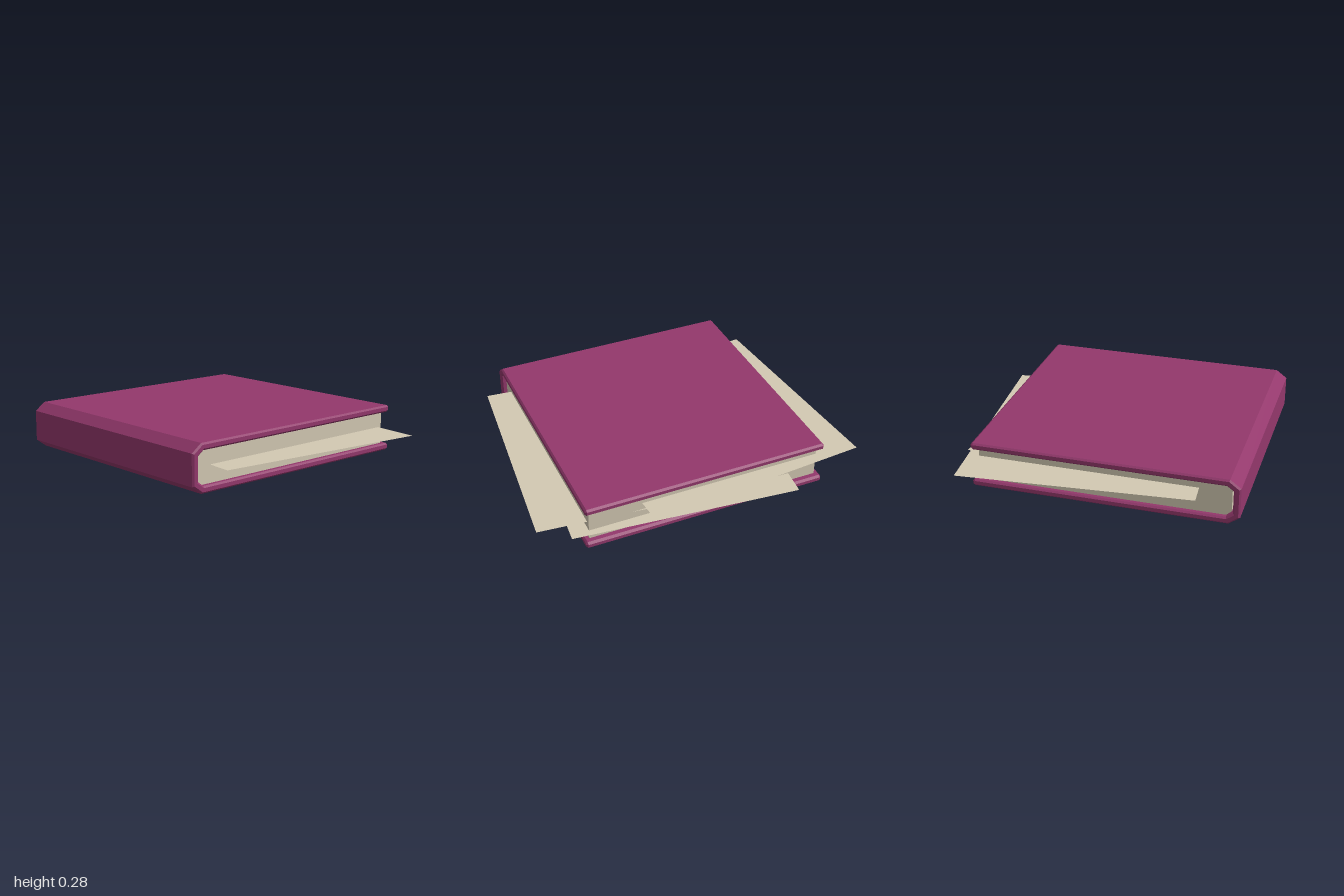
import * as THREE from 'three';

// Extrudes a (z, y) side profile along x between two x limits
function extrudeAlongX(profile, xMin, xMax, bevel = 0) {
  const shape = new THREE.Shape(profile.map(([z, y]) => new THREE.Vector2(z, y)));
  const depth = xMax - xMin - 2 * bevel;
  const geometry = new THREE.ExtrudeGeometry(shape, {
    depth,
    bevelEnabled: bevel > 0,
    bevelThickness: bevel,
    bevelSize: bevel,
    bevelOffset: -bevel,
    bevelSegments: 1,
  });
  geometry.translate(0, 0, -depth / 2);
  geometry.rotateY(-Math.PI / 2);
  geometry.translate((xMin + xMax) / 2, 0, 0);
  return geometry;
}

export function createModel() {
  const group = new THREE.Group();
  group.name = 'book';

  const coverMaterial = new THREE.MeshStandardMaterial({ color: 0x93386c });
  coverMaterial.name = 'plum cover';
  const paperMaterial = new THREE.MeshStandardMaterial({ color: 0xd3c9b3 });
  paperMaterial.name = 'aged paper';
  paperMaterial.side = THREE.DoubleSide;

  const add = (geometry, material, name) => {
    const mesh = new THREE.Mesh(geometry, material);
    mesh.name = name;
    group.add(mesh);
    return mesh;
  };

  // Both boards and the chamfered spine as one bevelled U profile,
  // given as its upper half and mirrored about the mid height
  const midY = 0.14;
  const upper = [
    [0.855, 0.232], [0.79, 0.28], [-0.722, 0.28], [-0.735, 0.27],
    [-0.735, 0.25], [-0.722, 0.238], [0.775, 0.238], [0.813, 0.21],
  ];
  const lower = upper.map(([z, y]) => [z, 2 * midY - y]).reverse();
  add(extrudeAlongX([...upper, ...lower], -0.775, 0.735, 0.01), coverMaterial, 'cover');

  // Page block, inset from the boards on the three open sides
  const pages = [
    [-0.695, 0.04], [0.77, 0.04], [0.803, 0.07],
    [0.803, 0.21], [0.77, 0.24], [-0.695, 0.24],
  ];
  add(extrudeAlongX(pages, -0.745, 0.705), paperMaterial, 'pageBlock');

  // Loose square sheets sticking out: x, y, z, turn in degrees
  const sheets = [
    [0.067, 0.1, -0.108, -5.6],
    [0.245, 0.145, -0.025, -5.6],
    [-0.26, 0.19, -0.115, 4.8],
  ];
  sheets.forEach(([x, y, z, turn], i) => {
    const geometry = new THREE.PlaneGeometry(1.372, 1.372).rotateX(-Math.PI / 2);
    const sheet = add(geometry, paperMaterial, `looseSheet${i + 1}`);
    sheet.position.set(x, y, z);
    sheet.rotation.y = THREE.MathUtils.degToRad(turn);
  });

  return group;
}
